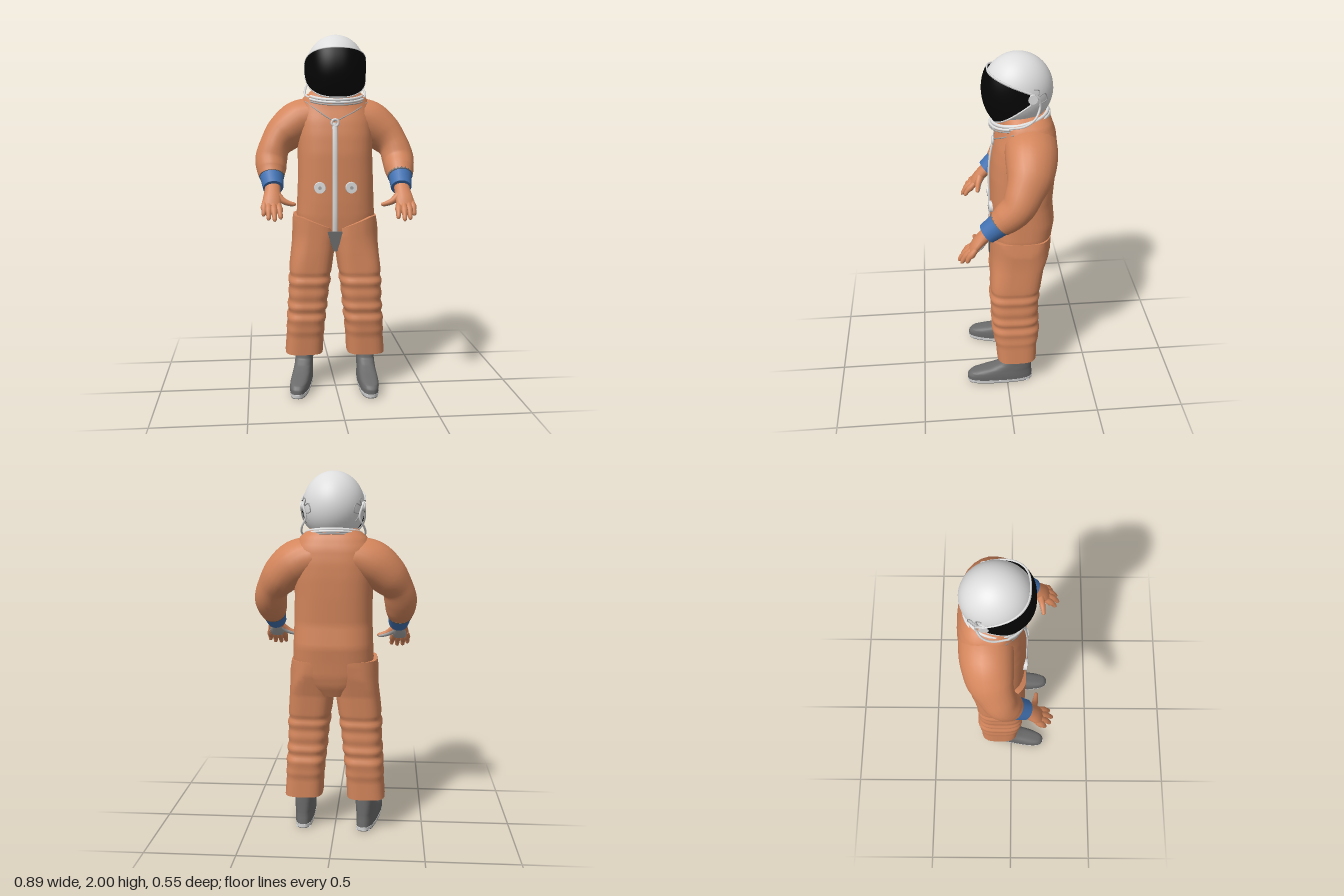
import * as THREE from 'three';
import { ParametricGeometry } from 'three/addons/geometries/ParametricGeometry.js';

const mat = (name, color, extra = {}) => Object.assign(new THREE.MeshStandardMaterial({ color, ...extra }), { name });
const V = (x, y, z) => new THREE.Vector3(x, y, z);
const power = (c, e) => Math.sign(c) * Math.abs(c) ** (2 / e);
const smooth = THREE.MathUtils.smoothstep;

// Skin closed rings of points, with a flat cap on both ends
function loft(rings) {
  const n = rings[0].length, pos = [], idx = [];
  rings.forEach(r => r.forEach(p => pos.push(p.x, p.y, p.z)));
  for (let i = 0; i < rings.length - 1; i++) for (let j = 0; j < n; j++) {
    const k = (j + 1) % n, a = i * n + j, b = i * n + k, c = a + n, d = b + n;
    idx.push(a, b, c, b, d, c);
  }
  [rings[0], rings[rings.length - 1]].forEach((r, end) => {
    const base = pos.length / 3, mid = r.reduce((m, p) => m.add(p), V(0, 0, 0)).divideScalar(n);
    [...r, mid].forEach(p => pos.push(p.x, p.y, p.z));
    for (let j = 0; j < n; j++) {
      const a = base + j, b = base + (j + 1) % n;
      idx.push(base + n, end ? a : b, end ? b : a);
    }
  });
  const g = new THREE.BufferGeometry();
  g.setAttribute('position', new THREE.Float32BufferAttribute(pos, 3));
  g.setIndex(idx);
  g.computeVertexNormals();
  return g;
}

// Rows are [y, xMin, xMax, zFront, zBack]
function rowAt(rows, y) {
  let i = 0;
  while (i < rows.length - 2 && y > rows[i + 1][0]) i++;
  const t = THREE.MathUtils.clamp((y - rows[i][0]) / (rows[i + 1][0] - rows[i][0]), 0, 1);
  return rows[i].map((v, k) => v + (rows[i + 1][k] - v) * t);
}

// Upright rounded-box body made from rows
function body(rows, e, steps, n = 28, bend = p => p, ripple = () => 0) {
  const y0 = rows[0][0], y1 = rows[rows.length - 1][0], rings = [];
  for (let i = 0; i <= steps; i++) {
    const y = y0 + (y1 - y0) * i / steps, [, a, b, f, k] = rowAt(rows, y), w = ripple(y);
    rings.push(Array.from({ length: n }, (_, j) => {
      const t = (j + 0.5) / n * Math.PI * 2;
      return bend(V((a + b) / 2 + ((b - a) / 2 + w) * power(Math.cos(t), e), y,
        (f + k) / 2 - ((f - k) / 2 + w) * power(Math.sin(t), e)));
    }));
  }
  return loft(rings);
}

// Limb along a curve; rows are [x, y, z, width radius, depth radius]
function limb(rows, steps = 12, n = 14) {
  const path = new THREE.CatmullRomCurve3(rows.map(r => V(r[0], r[1], r[2])));
  const size = new THREE.CatmullRomCurve3(rows.map(r => V(r[3], r[4] ?? r[3], 0)));
  const rings = [];
  for (let i = 0; i <= steps; i++) {
    const t = i / steps, p = path.getPoint(t), T = path.getTangent(t), s = size.getPoint(t);
    const U = V(1, 0, 0).addScaledVector(T, -T.x).normalize(), W = T.clone().cross(U);
    rings.push(Array.from({ length: n }, (_, j) => {
      const a = j / n * Math.PI * 2;
      return p.clone().addScaledVector(U, s.x * Math.cos(a)).addScaledVector(W, s.y * Math.sin(a));
    }));
  }
  return loft(rings);
}

const cord = (pts, r, seg = 24) => new THREE.TubeGeometry(new THREE.CatmullRomCurve3(pts.map(p => V(...p))), seg, r, 6);

const CHEST_POWER = 2.8;
const TORSO = [
  [0.8, -0.1, 0.11, 0.03, -0.2], [0.86, -0.16, 0.17, 0.055, -0.232], [0.92, -0.2, 0.215, 0.07, -0.248],
  [1, -0.214, 0.228, 0.077, -0.258], [1.08, -0.21, 0.225, 0.08, -0.27], [1.2, -0.205, 0.22, 0.08, -0.257],
  [1.35, -0.205, 0.215, 0.08, -0.268], [1.45, -0.207, 0.217, 0.07, -0.273], [1.53, -0.207, 0.217, 0.053, -0.272],
  [1.6, -0.2, 0.21, 0.027, -0.262], [1.66, -0.17, 0.18, 0.015, -0.24], [1.7, -0.12, 0.13, 0, -0.21]];
const LEG = [
  [0.2, 0.07, 0.285, 0.06, -0.17], [0.3, 0.065, 0.277, 0.068, -0.172], [0.38, 0.058, 0.275, 0.085, -0.185],
  [0.5, 0.045, 0.265, 0.088, -0.178], [0.62, 0.03, 0.262, 0.095, -0.18], [0.8, 0.005, 0.255, 0.092, -0.205],
  [0.92, -0.01, 0.246, 0.088, -0.24], [1, -0.01, 0.232, 0.085, -0.256]];
const BOOT = [
  [0.028, -0.054, 0.054, 0.238, -0.152], [0.055, -0.055, 0.055, 0.238, -0.15], [0.075, -0.054, 0.054, 0.22, -0.148],
  [0.092, -0.052, 0.052, 0.165, -0.147], [0.108, -0.051, 0.051, 0.1, -0.147], [0.13, -0.05, 0.05, 0.05, -0.147],
  [0.16, -0.05, 0.05, 0.012, -0.147], [0.23, -0.05, 0.05, 0, -0.147]];
const ARM = [
  [0.1, 1.555, -0.125, 0.11, 0.138], [0.2, 1.52, -0.12, 0.12, 0.136], [0.288, 1.45, -0.103, 0.106, 0.122],
  [0.338, 1.385, -0.072, 0.086, 0.1], [0.357, 1.315, -0.037, 0.089], [0.357, 1.26, 0.015, 0.082], [0.356, 1.226, 0.052, 0.07]];
const FINGERS = [
  [[0.323, 1.08, 0.197], [0.312, 1.015, 0.255]], [[0.35, 1.08, 0.206], [0.345, 1.005, 0.272]],
  [[0.376, 1.082, 0.202], [0.378, 1.01, 0.26]], [[0.398, 1.09, 0.188], [0.405, 1.028, 0.232]]];

// Depth of the chest surface at a point
function chestZ(x, y) {
  const [, a, b, f, k] = rowAt(TORSO, y), d = Math.min(1, Math.abs((x - (a + b) / 2) / ((b - a) / 2)));
  return (f + k) / 2 + (f - k) / 2 * (1 - d ** CHEST_POWER) ** (1 / CHEST_POWER);
}

// Round the trouser tops to the hips, and let the waistline dip at the front
function fitHips(p) {
  const dx = Math.abs(p.x - 0.003) / 0.243, dz = Math.abs(p.z + 0.08) / 0.175;
  const q = Math.max(1, (dx ** 3 + dz ** 3) ** (1 / 3));
  const k = 1 + (1 / q - 1) * smooth(p.y, 0.68, 0.92);
  p.x *= k;
  p.z = -0.08 + (p.z + 0.08) * k;
  p.y -= Math.max(0, p.y - 0.85) * 0.5 * Math.max(0, 1 - Math.abs(p.x) / 0.2) * smooth(p.z, -0.1, 0.06);
  return p;
}

// Helmet ellipsoid, and the point on its side s at a given height and depth
const HELMET = { mid: V(0.007, 1.815, -0.068), size: V(0.166, 0.185, 0.18) };
function helmetSide(s, z, y, lift) {
  const d = ((y - HELMET.mid.y) / HELMET.size.y) ** 2 + ((z - HELMET.mid.z) / HELMET.size.z) ** 2;
  return [HELMET.mid.x + s * (HELMET.size.x * Math.sqrt(Math.max(0, 1 - d)) + lift), y, z];
}

export function createModel() {
  const root = new THREE.Group();
  const orange = mat('orange fabric', 0xd4865c), white = mat('white shell', 0xdedede);
  const black = mat('black visor', 0x050505, { side: THREE.DoubleSide }), blue = mat('blue cuff', 0x4272b2);
  const grey = mat('dark grey rubber', 0x6b6b6b), metal = mat('light grey metal', 0xa6a6a6);
  const add = (name, geo, m, parent = root) => {
    const mesh = new THREE.Mesh(geo, m);
    mesh.name = name;
    parent.add(mesh);
    return mesh;
  };

  add('torso', body(TORSO, CHEST_POWER, 45, 40), orange);

  // Front zip, its ring, and the grey flap at its lower end
  const zip = [0.9, 1, 1.1, 1.2, 1.35, 1.45, 1.52].map(y => [-0.01, y, chestZ(-0.01, y) + 0.003, 0.014, 0.006]);
  add('zip', limb(zip, 20, 8), white);
  add('zipRing', new THREE.TorusGeometry(0.018, 0.007, 8, 20), white).position.set(-0.008, 1.52, chestZ(0, 1.52) + 0.006);
  const flap = new THREE.Shape([[-0.052, 0.92], [-0.032, 0.85], [-0.018, 0.81], [0, 0.81], [0.014, 0.85], [0.032, 0.92]]
    .map(p => new THREE.Vector2(...p)));
  add('crotchFlap', new THREE.ExtrudeGeometry(flap, { depth: 0.03, bevelEnabled: false }), grey).position.z = 0.058;

  // Cord hanging from the collar
  const hang = [[-0.165, 1.635], [-0.1, 1.585], [-0.05, 1.55], [-0.008, 1.53], [0.05, 1.555], [0.11, 1.585], [0.18, 1.63]];
  add('neckCord', cord(hang.map(([x, y]) => [x, y, chestZ(x, y) + 0.005]), 0.0035), metal);

  // Round hose connectors on the belly
  for (const x of [-0.093, 0.08]) {
    const port = new THREE.Group();
    port.name = 'hoseConnector';
    port.position.set(x, 1.165, chestZ(x, 1.165) + 0.005);
    port.rotation.y = x;
    add('connectorDisc', new THREE.CylinderGeometry(0.031, 0.033, 0.02, 20), white, port).rotation.x = Math.PI / 2;
    add('connectorHub', new THREE.CylinderGeometry(0.01, 0.01, 0.008, 8), metal, port).rotation.x = Math.PI / 2;
    port.children[1].position.z = 0.01;
    root.add(port);
  }

  // Helmet shell
  const shell = add('helmetShell', new THREE.SphereGeometry(1, 40, 28), white);
  shell.scale.copy(HELMET.size);
  shell.position.copy(HELMET.mid);

  // Blunt wedge-shaped visor between the side hinges, with a rim on both edges
  const visorPoint = (u, v, out) => {
    const a = THREE.MathUtils.degToRad(-36 + 57 * v), t = (u - 0.5) * Math.PI, w = 2 * v - 1;
    const d = 0.23 * (1 - 0.05 * w * w) * power(Math.cos(t), 2.5);
    return out.set(0.007 + 0.17 * power(Math.sin(t), 2.5), 1.815 + d * Math.sin(a) + 0.026 * w, -0.11 + d * Math.cos(a));
  };
  add('visor', new ParametricGeometry(visorPoint, 48, 20), black);
  for (const v of [0, 1]) {
    const pts = Array.from({ length: 25 }, (_, i) => {
      const p = visorPoint(i / 24, v, V(0, 0, 0));
      return [p.x * 0.985, p.y + (v - 0.5) * 0.006, p.z - 0.006];
    });
    add('visorRim', cord(pts, 0.005, 60), white);
  }

  // Tilted neck rings
  [[0.148, 0.009, 1.672, white], [0.157, 0.007, 1.66, white], [0.16, 0.004, 1.648, metal]].forEach(([r, t, y, m]) => {
    const ring = add('neckRing', new THREE.TorusGeometry(r, t, 10, 40), m);
    ring.position.set(0.007, y, -0.078);
    ring.rotation.x = Math.PI / 2 + 0.2;
  });

  for (const s of [1, -1]) {
    const side = s > 0 ? 'left' : 'right';
    // The right arm is held a little further back
    const arm = rows => rows.map(([x, y, z, ...r]) => [s * x + 0.001, y, s > 0 ? z : z - 0.045 * smooth(z, -0.1, 0.08), ...r]);

    // Helmet hinge, hose and loose cord
    const onHelmet = (pts, lift) => pts.map(([z, y]) => helmetSide(s, z, y, lift));
    const hinge = add(side + 'VisorHinge', new THREE.CylinderGeometry(0.024, 0.024, 0.02, 16), white);
    hinge.position.set(...helmetSide(s, -0.125, 1.815, 0.004));
    hinge.rotation.z = Math.PI / 2;
    add(side + 'HelmetHose', cord([...onHelmet([[-0.13, 1.84], [-0.16, 1.81], [-0.165, 1.76]], 0.01),
      [0.007 + s * 0.164, 1.71, -0.14], [0.007 + s * 0.17, 1.675, -0.09], [0.007 + s * 0.15, 1.655, -0.01]], 0.006), white);
    add(side + 'HelmetCord', cord(onHelmet([[-0.13, 1.86], [-0.16, 1.85], [-0.15, 1.82], [-0.19, 1.83],
      [-0.2, 1.79], [-0.16, 1.775], [-0.17, 1.74]], 0.002), 0.003, 40), metal);

    // Sleeve, trim and cuff
    add(side + 'Sleeve', limb(arm(ARM), 30, 22), orange);
    add(side + 'SleeveTrim', limb(arm([[0.356, 1.23, 0.048, 0.071], [0.356, 1.222, 0.057, 0.069]]), 2, 20), grey);
    add(side + 'Cuff', limb(arm([[0.356, 1.228, 0.05, 0.066], [0.35, 1.168, 0.12, 0.056]]), 4, 20), blue);

    // Gloved hand with a grey palm pad
    add(side + 'Palm', limb(arm([[0.352, 1.185, 0.105, 0.042, 0.036], [0.354, 1.15, 0.14, 0.044, 0.033],
      [0.358, 1.11, 0.177, 0.05, 0.027], [0.361, 1.075, 0.205, 0.046, 0.017]]), 10, 16), orange);
    add(side + 'PalmPad', limb(arm([[0.353, 1.14, 0.121, 0.025, 0.014], [0.356, 1.101, 0.158, 0.04, 0.014],
      [0.358, 1.073, 0.188, 0.036, 0.01]]), 6, 12), metal);
    for (const [k, t] of FINGERS) {
      const at = f => k.map((v, i) => v + (t[i] - v) * f);
      const knuckle = at(0.55);
      knuckle[2] += 0.006;
      add(side + 'Finger', limb(arm([[...at(-0.2), 0.014], [...knuckle, 0.014], [...at(0.9), 0.011], [...at(1), 0.004]]), 9, 10), orange);
    }
    const thumb = [[0.335, 1.135, 0.155, 0.024], [0.295, 1.102, 0.172, 0.017],
      [0.26, 1.088, 0.178, 0.013], [0.236, 1.083, 0.181, 0.01], [0.23, 1.081, 0.183, 0.003]];
    add(side + 'Thumb', limb(arm(thumb), 12, 10), orange);
    add(side + 'ThumbPad', limb(arm(thumb.slice(0, 4).map(([x, y, z, r]) => [x + 0.004, y - 0.004, z - 0.005, r * 0.85])), 10, 10), metal);

    // Trouser leg with uneven folds at the knee and shin
    const rows = LEG.map(([y, a, b, f, k]) => {
      const back = s > 0 ? 0 : 0.02 * Math.min(1, (1 - y) / 0.4);
      return [y, s > 0 ? a : -b, s > 0 ? b : -a, f - back, k - back];
    });
    const folds = y => y > 0.32 && y < 0.68
      ? 0.0035 * Math.sin((y - 0.32) / 0.36 * Math.PI * 10) * (1 + 0.5 * Math.sin(y * 31)) : 0;
    add(side + 'TrouserLeg', body(rows, 3.4, 72, 32, fitHips, folds), orange);

    // Boot with pale sole and tread bars
    const boot = new THREE.Group();
    boot.name = side + 'Boot';
    boot.position.set(s > 0 ? 0.18 : -0.188, 0, s > 0 ? 0 : -0.025);
    boot.rotation.y = s > 0 ? 0 : -0.2;
    add('bootUpper', body(BOOT, 2.8, 34, 32), grey, boot);
    add('soleBand', body([[0.01, -0.052, 0.052, 0.236, -0.152], [0.03, -0.055, 0.055, 0.24, -0.154]], 2.8, 2, 32), white, boot);
    add('soleBase', body([[0.005, -0.051, 0.051, 0.234, -0.15], [0.011, -0.051, 0.051, 0.234, -0.15]], 2.8, 1, 32), grey, boot);
    for (const z of [-0.12, -0.085, -0.05, 0.07, 0.105, 0.14, 0.175])
      add('treadBar', new THREE.BoxGeometry(0.08, 0.01, 0.015), white, boot).position.set(0, 0.005, z);
    root.add(boot);
  }
  return root;
}
